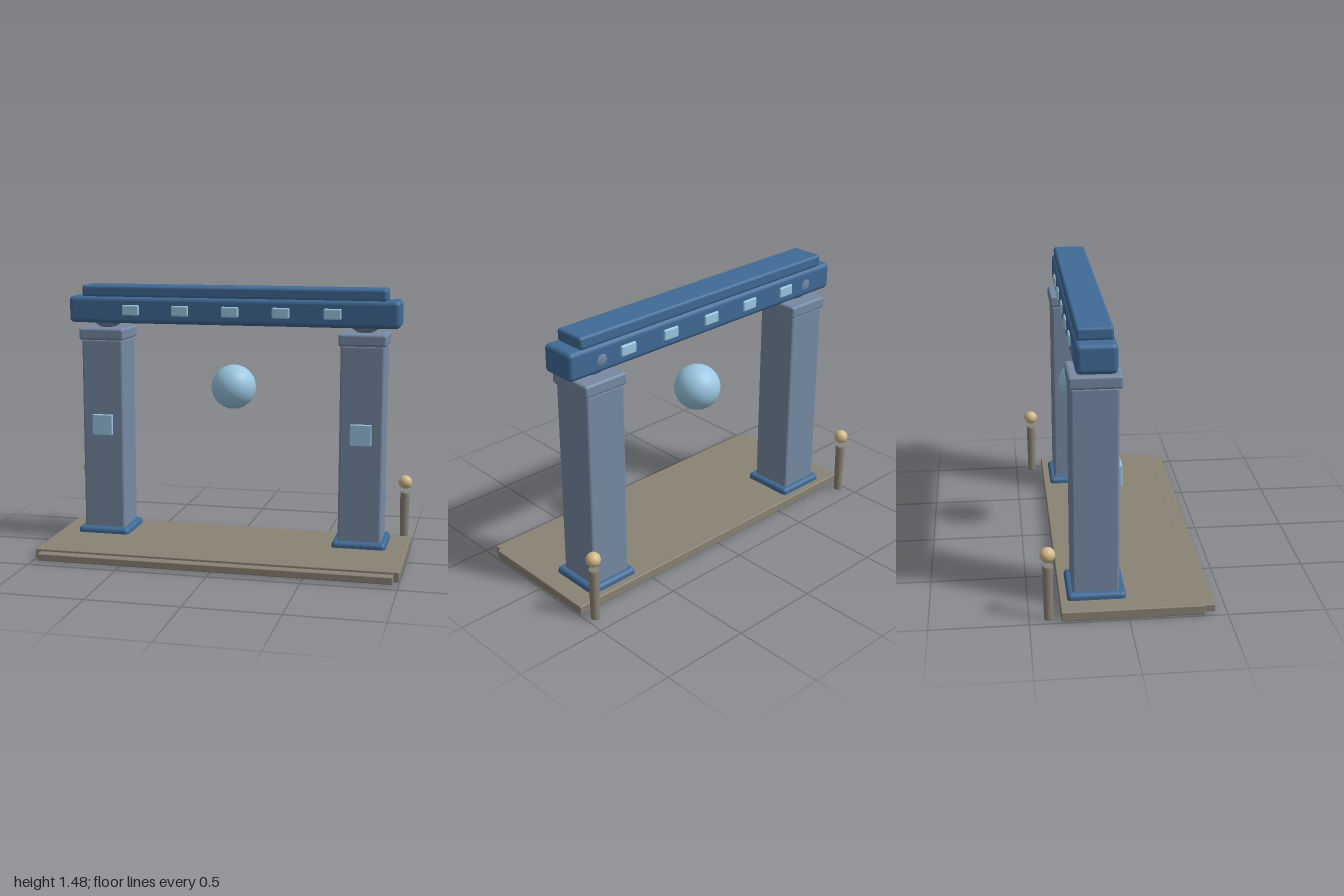
import * as THREE from 'three';
import { RoundedBoxGeometry } from 'three/addons/geometries/RoundedBoxGeometry.js';

const material = (color) => new THREE.MeshStandardMaterial({ color });

export function createModel() {
  const group = new THREE.Group();
  const navy = material(0x3f6a96);
  const slate = material(0x7689a3);
  const stone = material(0x8a8375);
  const glass = material(0x9ac8e2);
  const gold = material(0xd2b988);
  const axisZ = -0.155;

  const add = (name, geometry, mat, x, y, z) => {
    const mesh = new THREE.Mesh(geometry, mat);
    mesh.name = name;
    mesh.position.set(x, y, z);
    group.add(mesh);
    return mesh;
  };
  // Rounded block given by its centre x and z, its bottom and top, width, depth and edge radius
  const block = (name, mat, x, z, y0, y1, w, d, r) =>
    add(name, new RoundedBoxGeometry(w, y1 - y0, d, 3, r), mat, x, (y0 + y1) / 2, z);

  // Floor slab with a lower front step
  block('platform', stone, 0, 0.0225, 0.006, 0.058, 2, 0.725, 0.006);
  block('frontStep', stone, 0, 0.34, 0.006, 0.045, 1.94, 0.2, 0.005);

  // Bollard profile, slightly wider at the top
  const bollardProfile = [
    [0, 0], [0.023, 0], [0.023, 0.005], [0.027, 0.285], [0.027, 0.292], [0.024, 0.297], [0, 0.297],
  ].map(([x, y]) => new THREE.Vector2(x, y));

  for (const side of [-1, 1]) {
    const x = side * 0.737;
    // Pillar with foot, capital and the ball bearing the beam
    block('pillarFoot', navy, x, axisZ + 0.003, 0, 0.092, 0.3, 0.3, 0.022);
    block('pillar', slate, x, axisZ, 0.05, 1.18, 0.24, 0.24, 0.014);
    block('capital', slate, x, axisZ + 0.003, 1.175, 1.242, 0.262, 0.266, 0.014);
    add('beamSupport', new THREE.SphereGeometry(0.104, 32, 20), slate, x, 1.338, axisZ);
    block('pillarPanel', glass, x, -0.03, 0.633, 0.75, 0.117, 0.03, 0.004);

    // Bollard with a ball finial behind the slab
    add('bollard', new THREE.LatheGeometry(bollardProfile, 20), stone, side * 0.955, 0.006, -0.402);
    add('bollardBall', new THREE.SphereGeometry(0.039, 24, 16), gold, side * 0.955, 0.36, -0.402);
  }

  // Lintel and its top rail
  block('beam', navy, 0, axisZ + 0.003, 1.27, 1.42, 1.87, 0.204, 0.026);
  block('topRail', navy, 0, axisZ + 0.001, 1.415, 1.482, 1.72, 0.182, 0.016);

  // Inset lights along both faces of the lintel
  for (let i = -2; i <= 2; i++) {
    for (const z of [-0.052, -0.252]) {
      block('beamLight', glass, i * 0.285, z, 1.315, 1.375, 0.098, 0.024, 0.009);
    }
  }

  // Floating orb in the gateway
  add('orb', new THREE.SphereGeometry(0.125, 48, 32), glass, 0, 0.917, axisZ);

  return group;
}
